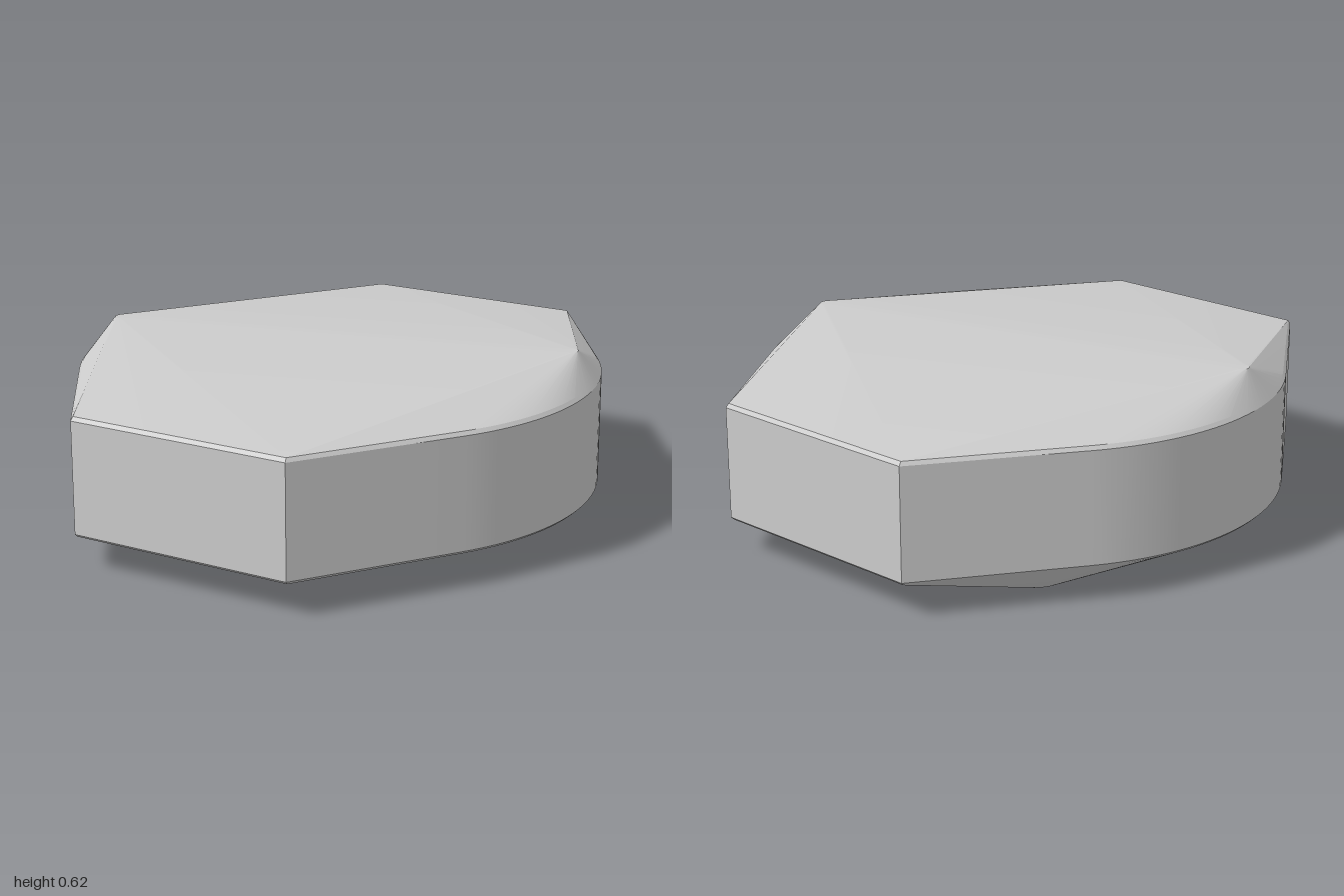
import * as THREE from 'three';
import { ConvexGeometry } from 'three/addons/geometries/ConvexGeometry.js';
import { toCreasedNormals } from 'three/addons/utils/BufferGeometryUtils.js';

const RADIUS = 0.895;
const END_HALF_WIDTH = 0.4;

// Outline: flat ends joined by tangent lines to two circular sides
function outline(y, inset) {
  const r = RADIUS - inset, w = END_HALF_WIDTH - inset * 0.3, d = 1 - inset;
  const tangent = Math.atan2(d, w) - Math.acos(r / Math.hypot(w, d));
  const points = [];
  for (const side of [1, -1]) {
    points.push(new THREE.Vector3(side * w, y, d), new THREE.Vector3(side * w, y, -d));
    for (let i = 0; i <= 24; i++) {
      const a = tangent * (i / 12 - 1);
      points.push(new THREE.Vector3(side * r * Math.cos(a), y, r * Math.sin(a)));
    }
  }
  return points;
}

// Horizontal circle of points
function ring(x, y, z, radius, count) {
  return Array.from({ length: count }, (_, i) => {
    const a = (i / count) * Math.PI * 2;
    return new THREE.Vector3(x + radius * Math.cos(a), y, z + radius * Math.sin(a));
  });
}

export function createModel() {
  const group = new THREE.Group();
  group.name = 'facetedBlock';

  const points = [
    // Round foot, off centre under the back
    ...ring(-0.46, 0, -0.46, 0.11, 32),
    // Upright wall with slim chamfers above and below
    ...outline(0.115, 0.01),
    ...outline(0.125, 0),
    ...outline(0.508, 0),
    ...outline(0.521, 0.01),
    // Two small peaks that form the diagonal ridge
    ...ring(0.77, 0.615, -0.2, 0.03, 16),
    ...ring(-0.77, 0.615, 0.2, 0.03, 16),
  ];

  const body = new THREE.Mesh(
    toCreasedNormals(new ConvexGeometry(points), 0.1),
    new THREE.MeshStandardMaterial({ color: 0xcccccc })
  );
  body.name = 'body';
  group.add(body);
  return group;
}
